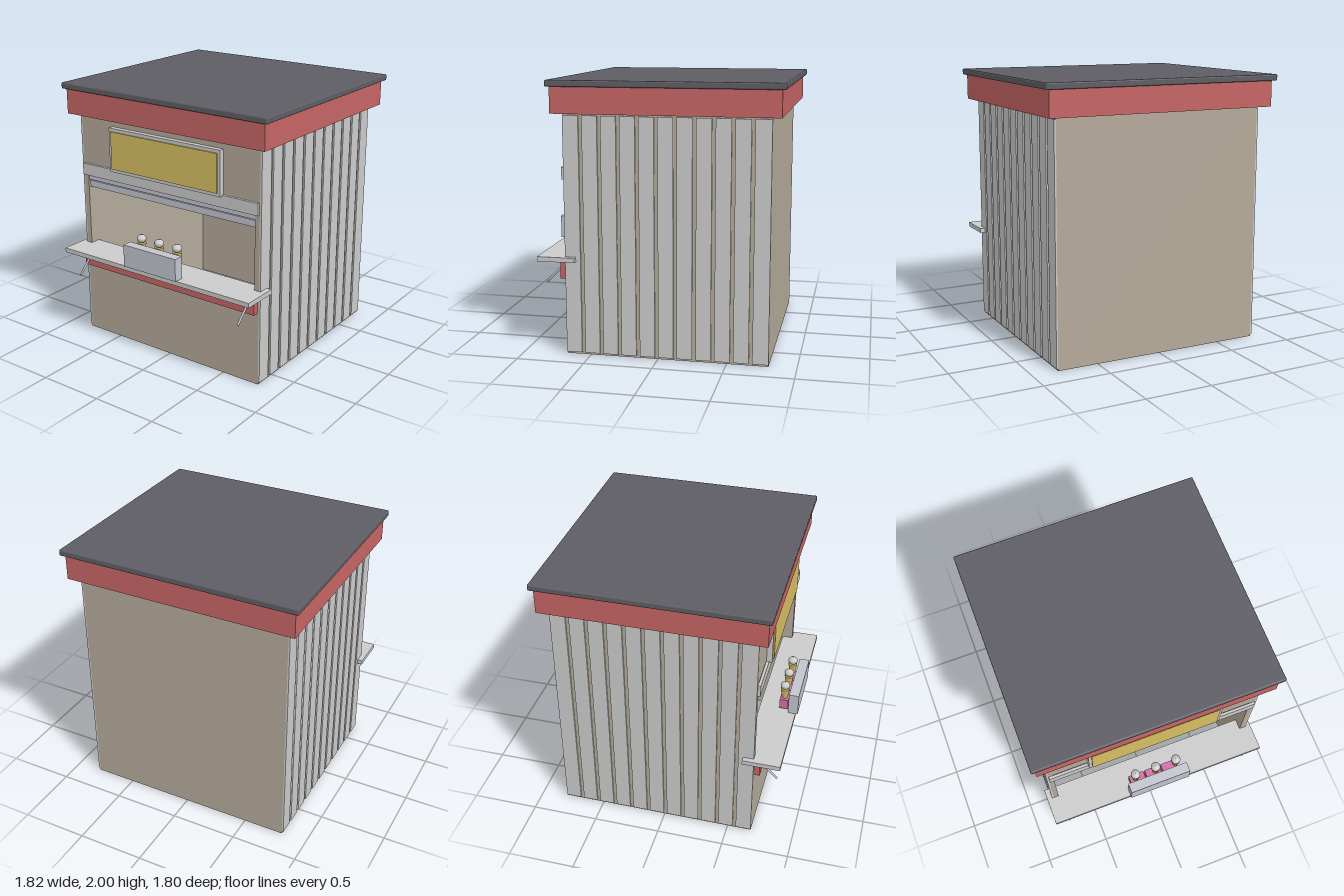
import * as THREE from 'three';
import { RoundedBoxGeometry } from 'three/addons/geometries/RoundedBoxGeometry.js';

const mat = (color) => new THREE.MeshStandardMaterial({ color });

export function createModel() {
  const group = new THREE.Group();
  const tan = mat(0xb4aa9a), pale = mat(0xd6d6d2), red = mat(0xc66464), dark = mat(0x5e5d64);
  const steel = mat(0xc2c5cf), yellow = mat(0xd8bf62), pink = mat(0xd070a8);

  const add = (name, geometry, material, x = 0, y = 0, z = 0) => {
    const mesh = new THREE.Mesh(geometry, material);
    mesh.name = name;
    mesh.position.set(x, y, z);
    group.add(mesh);
    return mesh;
  };
  // Box given by its extents on each axis
  const box = (name, material, [x0, x1], [y0, y1], [z0, z1]) =>
    add(name, new THREE.BoxGeometry(x1 - x0, y1 - y0, z1 - z0), material,
      (x0 + x1) / 2, (y0 + y1) / 2, (z0 + z1) / 2);

  // Front wall with the serving hatch cut out
  const front = new THREE.Shape([[-0.805, 0], [0.805, 0], [0.805, 1.77], [-0.805, 1.77]]
    .map(([x, y]) => new THREE.Vector2(x, y)));
  front.holes.push(new THREE.Path([[-0.765, 0.7], [-0.765, 1.385], [0.765, 1.385], [0.765, 0.7]]
    .map(([x, y]) => new THREE.Vector2(x, y))));
  add('frontWall', new THREE.ExtrudeGeometry(front, { depth: 0.04, bevelEnabled: false }), tan, 0, 0, 0.64);

  // Back and side walls; the booth is open underneath
  box('backWall', tan, [-0.77, 0.77], [0, 1.77], [-0.8, -0.76]);
  for (const s of [-1, 1]) {
    box('sideWall', tan, [s * 0.785 - 0.02, s * 0.785 + 0.02], [0, 1.77], [-0.8, 0.64]);
    // Vertical cladding boards
    for (let i = 0; i < 11; i++) {
      const z = 0.62 - i * 0.136;
      const z0 = i === 10 ? -0.8 : z - 0.055, z1 = i === 0 ? 0.68 : z + 0.055;
      box('claddingBoard', pale, [s * 0.81 - 0.007, s * 0.81 + 0.007], [0.015, 1.75], [z0, z1]);
    }
  }

  // Fascia and roof
  box('fascia', red, [-0.88, 0.88], [1.765, 1.96], [-0.87, 0.75]);
  add('roof', new RoundedBoxGeometry(1.82, 0.046, 1.675, 2, 0.01), dark, 0, 1.977, -0.0625);

  // Hatch header, rolled shutter and its bottom bar
  box('hatchHeader', pale, [-0.8, 0.8], [1.29, 1.38], [0.68, 0.7]);
  box('shutterHousing', steel, [-0.763, 0.763], [1.25, 1.385], [0.6, 0.675]);
  box('shutterBar', steel, [-0.763, 0.763], [1.19, 1.24], [0.63, 0.665]);

  // Sign
  box('signFrame', pale, [-0.503, 0.503], [1.37, 1.705], [0.68, 0.72]);
  box('signPanel', yellow, [-0.48, 0.48], [1.395, 1.68], [0.71, 0.73]);

  // Counter, apron and diagonal struts
  box('counter', pale, [-0.855, 0.855], [0.695, 0.73], [0.6, 0.88]);
  box('counterApron', red, [-0.795, 0.795], [0.56, 0.695], [0.68, 0.725]);
  for (const s of [-1, 1]) {
    const strut = add('counterStrut', new THREE.CylinderGeometry(0.008, 0.008, 0.175, 10), steel, s * 0.742, 0.58, 0.783);
    strut.rotation.x = -Math.PI / 4;
  }

  // Display tray with cartons and cones behind it
  box('displayBox', steel, [-0.24, 0.24], [0.735, 0.905], [0.823, 0.898]);
  for (const x of [-0.15, -0.0175, 0.115]) {
    box('carton', pink, [x - 0.06, x + 0.06], [0.745, 0.825], [0.75, 0.815]);
  }
  const scoop = new THREE.LatheGeometry(
    [[0, 0.908], [0.028, 0.912], [0.036, 0.93], [0.036, 0.944], [0.02, 0.96], [0, 0.966]]
      .map(([r, y]) => new THREE.Vector2(r, y)), 12);
  for (const x of [-0.165, 0, 0.165]) {
    add('cone', new THREE.CylinderGeometry(0.035, 0.014, 0.135, 12), yellow, x, 0.8375, 0.78);
    add('scoop', scoop, pale, x, 0, 0.78);
  }
  return group;
}
